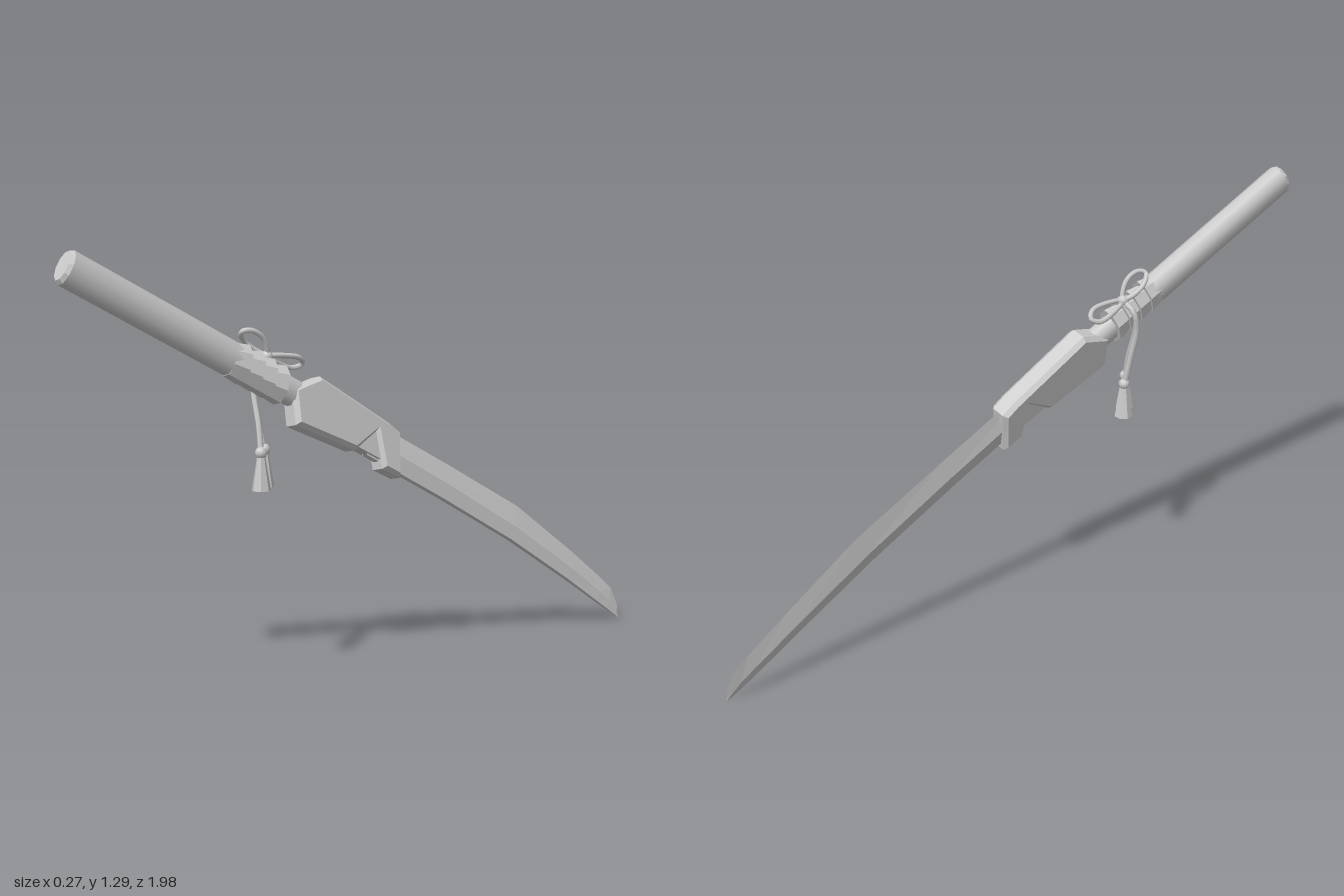
import * as THREE from 'three';

const grey = (flat = false) =>
  new THREE.MeshStandardMaterial({ color: 0xcccccc, flatShading: flat, side: THREE.DoubleSide });

function add(parent, name, geometry, flat) {
  const mesh = new THREE.Mesh(geometry, grey(flat));
  mesh.name = name;
  parent.add(mesh);
  return mesh;
}

// Oval tapered length along z between z0 and z1, with half heights r0 and r1.
function oval(z0, z1, r0, r1, sides = 10) {
  const g = new THREE.CylinderGeometry(r1, r0, z1 - z0, sides);
  g.rotateY(Math.PI / sides).rotateX(Math.PI / 2).scale(0.8, 1, 1);
  return g.translate(0, 0.022, (z0 + z1) / 2);
}

// Blade lofted from sections: z, spine height, ridge height, edge height, half thickness.
function bladeGeometry() {
  const stations = [
    [0.02, -0.042, 0.008, 0.068, 0.019],
    [-0.3, -0.047, 0, 0.065, 0.018],
    [-0.63, -0.06, -0.016, 0.057, 0.017],
    [-0.92, -0.088, -0.05, 0.009, 0.015],
    [-1.08, -0.108, -0.075, -0.024, 0.011],
    [-1.14, -0.115, -0.088, -0.04, 0.008],
    [-1.188, -0.121, -0.108, -0.084, 0.004],
    [-1.206, -0.124, -0.1235, -0.123, 0.0005],
  ];
  const pos = [], index = [], n = 5;
  for (const [z, spine, ridge, edge, t] of stations)
    pos.push(0, edge, z, t, ridge, z, t * 0.6, spine, z, -t * 0.6, spine, z, -t, ridge, z);
  for (let i = 0; i < stations.length - 1; i++)
    for (let j = 0; j < n; j++) {
      const a = i * n + j, b = i * n + ((j + 1) % n);
      index.push(a, b, a + n, b, b + n, a + n);
    }
  const g = new THREE.BufferGeometry();
  g.setAttribute('position', new THREE.Float32BufferAttribute(pos, 3));
  g.setIndex(index);
  g.computeVertexNormals();
  return g;
}

// Throat block: side profile (z, y) with the notch under it, chamfered on both faces.
function guardGeometry() {
  const profile = [
    [0.348, 0.026], [0.267, 0.101], [-0.022, 0.08], [-0.072, 0.07], [-0.116, -0.061],
    [-0.042, -0.063], [0.017, 0.034], [0.074, -0.052], [0.301, -0.071],
  ];
  const shape = new THREE.Shape(profile.map(([z, y]) => new THREE.Vector2(-z, y)));
  const g = new THREE.ExtrudeGeometry(shape, {
    depth: 0.044, bevelEnabled: true, bevelSegments: 1,
    bevelThickness: 0.014, bevelSize: 0.012, bevelOffset: -0.012,
  });
  return g.translate(0, 0, -0.022).rotateY(Math.PI / 2);
}

function cord(points, closed, radius = 0.008) {
  const curve = new THREE.CatmullRomCurve3(points.map((p) => new THREE.Vector3(...p)), closed);
  return new THREE.TubeGeometry(curve, closed ? 28 : 16, radius, 6, closed);
}

export function createModel() {
  const model = new THREE.Group();
  model.name = 'curvedSword';

  // Sword, built along z and then pitched, turned and rolled into its pose
  const sword = new THREE.Group();
  sword.name = 'sword';
  sword.rotation.set(-0.503, -0.1, 0.25, 'YXZ');
  sword.position.y = 0.7;
  model.add(sword);

  add(sword, 'blade', bladeGeometry(), true);
  add(sword, 'guard', guardGeometry(), true);
  add(sword, 'bladeCollar', new THREE.BoxGeometry(0.046, 0.09, 0.16).translate(0, 0.008, 0.02), true);

  // Grip with a chamfered end
  add(sword, 'gripCore', oval(0.08, 0.58, 0.042, 0.042));
  add(sword, 'grip', oval(0.54, 1.112, 0.052, 0.052));
  add(sword, 'gripEnd', oval(1.112, 1.124, 0.052, 0.044), true);

  // Overlapping wrapped bands, each flaring toward the blade
  for (let i = 0; i < 4; i++) {
    const z = 0.395 + i * 0.046;
    const band = oval(-0.022, 0.028, 0.061, 0.051, 8).rotateX(0.14).translate(0, 0, z);
    add(sword, 'wrapBand', band, true);
  }

  // Bow tied over the grip
  const bow = new THREE.Group();
  bow.name = 'bow';
  model.add(bow);
  add(bow, 'bowKnot', new THREE.SphereGeometry(0.018, 8, 6).translate(-0.06, 0.985, 0.345));
  add(bow, 'bowLoop', cord([
    [-0.06, 0.99, 0.345], [-0.05, 1.04, 0.365], [-0.055, 1.064, 0.405],
    [-0.07, 1.058, 0.427], [-0.085, 1.03, 0.405], [-0.078, 1.0, 0.365],
  ], true));
  add(bow, 'bowLoop', cord([
    [-0.06, 0.985, 0.345], [-0.045, 0.985, 0.29], [-0.042, 0.975, 0.24],
    [-0.055, 0.955, 0.222], [-0.07, 0.945, 0.245], [-0.07, 0.962, 0.3],
  ], true));

  // Two hanging cords with knotted tassels
  const tassels = [
    { x: -0.075, z: 0.347, top: [[-0.06, 0.985, 0.345], [-0.1, 0.955, 0.355], [-0.103, 0.9, 0.365], [-0.088, 0.8, 0.357]] },
    { x: -0.03, z: 0.392, top: [[-0.06, 0.985, 0.345], [-0.095, 0.945, 0.365], [-0.085, 0.88, 0.375], [-0.052, 0.79, 0.383]] },
  ];
  for (const { x, z, top } of tassels) {
    const tassel = new THREE.Group();
    tassel.name = 'tassel';
    model.add(tassel);
    add(tassel, 'tasselCord', cord([...top, [x, 0.71, z]], false, 0.009));
    add(tassel, 'tasselKnot', new THREE.SphereGeometry(0.018, 8, 6).translate(x, 0.714, z));
    add(tassel, 'tasselSkirt', new THREE.CylinderGeometry(0.012, 0.028, 0.098, 7).translate(x, 0.654, z), true);
  }
  return model;
}
